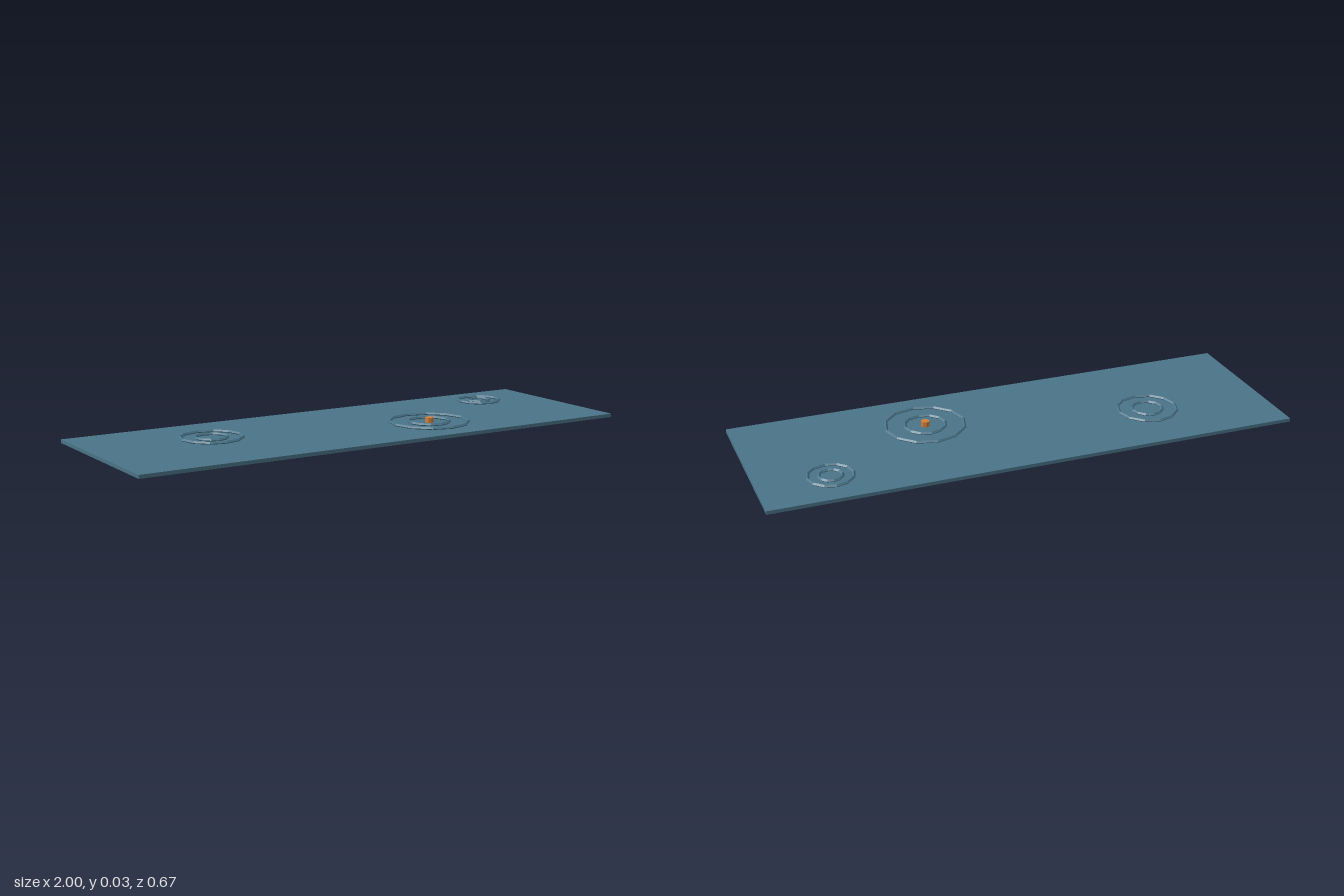
import * as THREE from 'three';

export function createModel() {
  const model = new THREE.Group();
  const water = new THREE.MeshStandardMaterial({ color: 0x4a7488, flatShading: true });
  const orange = new THREE.MeshStandardMaterial({ color: 0xd08038, flatShading: true });

  function add(name, geometry, material, x, y, z, parent = model) {
    const mesh = new THREE.Mesh(geometry, material);
    mesh.name = name;
    mesh.position.set(x, y, z);
    parent.add(mesh);
    return mesh;
  }

  // Flat sheet of water
  add('waterSurface', new THREE.BoxGeometry(2, 0.0133, 0.667), water, 0, 0.00665, 0);

  // Pairs of concentric ripples, half sunk in the surface: x, z, outer radius
  const ripples = [[0.3, 0.1, 0.15], [-0.533, -0.067, 0.113], [0.733, -0.167, 0.083]];
  for (const [x, z, radius] of ripples) {
    const group = new THREE.Group();
    group.name = 'ripple';
    group.position.set(x, 0.0167, z);
    model.add(group);
    for (const [name, r] of [['outerRing', radius], ['innerRing', radius * 0.515]]) {
      const ring = new THREE.TorusGeometry(r, 0.006, 4, 12).rotateX(-Math.PI / 2);
      add(name, ring, water, 0, 0, 0, group);
    }
  }

  // Small float in the middle of the largest ripple
  add('float', new THREE.CylinderGeometry(0.0167, 0.0167, 0.0195, 8), orange, 0.3, 0.0228, 0.1);

  return model;
}
